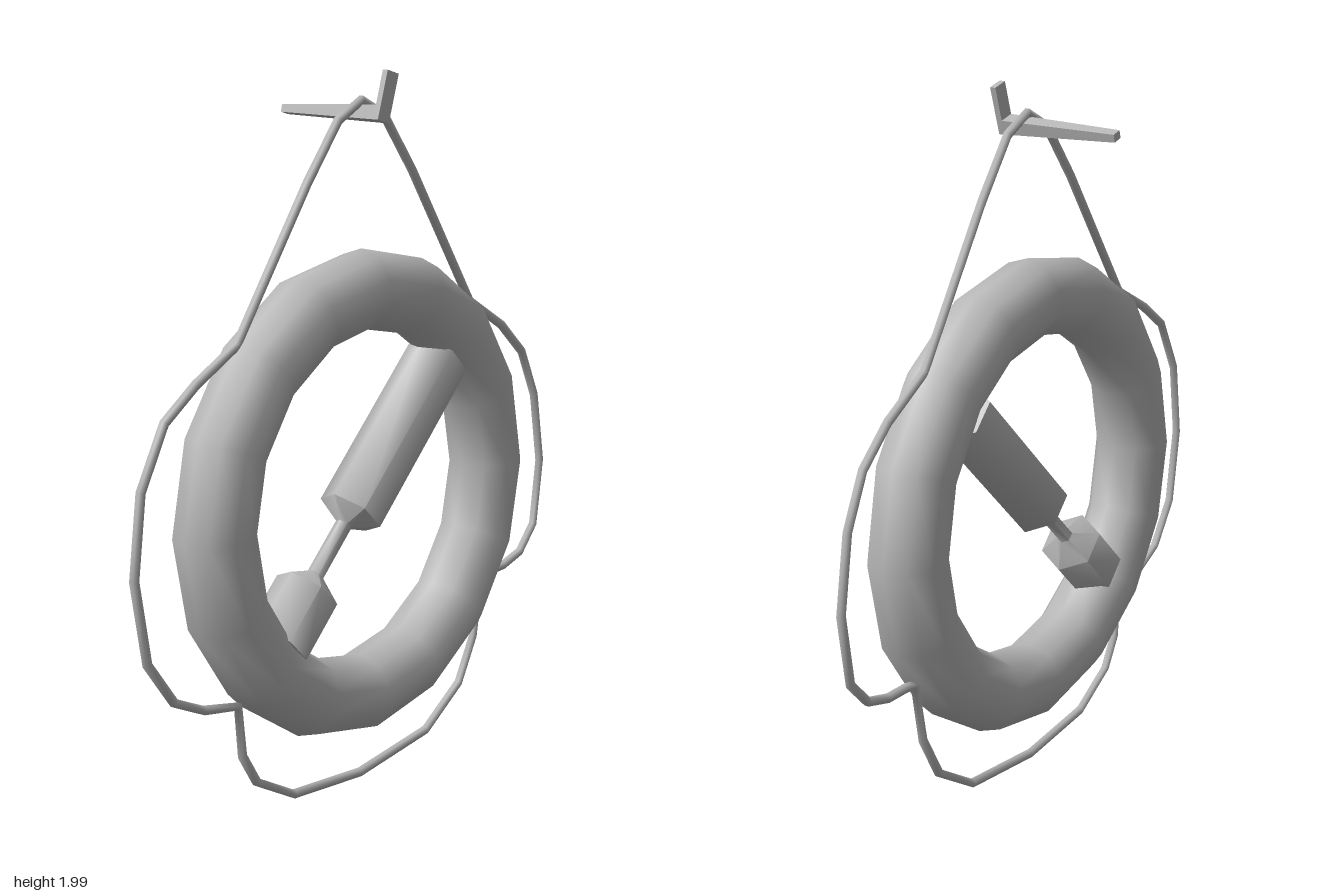
import * as THREE from 'three';
import { toCreasedNormals } from 'three/addons/utils/BufferGeometryUtils.js';

const CENTER_X = 0.082, CENTER_Y = 0.84;

// Closed path that keeps every given point as a corner of the tube
class RopePath extends THREE.Curve {
  constructor(points) { super(); this.points = points; }
  at(i) { const n = this.points.length; return this.points[((i % n) + n) % n]; }
  getPoint(t) {
    const f = t * this.points.length, i = Math.floor(f + 1e-6);
    return this.at(i).clone().lerp(this.at(i + 1), Math.max(0, f - i));
  }
  getPointAt(t) { return this.getPoint(t); }
  getTangentAt(t) {
    const i = Math.round(t * this.points.length);
    const a = this.at(i).clone().sub(this.at(i - 1)).normalize();
    const b = this.at(i + 1).clone().sub(this.at(i)).normalize();
    return a.add(b).normalize();
  }
}

export function createModel() {
  const model = new THREE.Group();
  const grey = new THREE.MeshStandardMaterial({ color: 0xb8b8b8 });
  grey.name = 'plain grey';

  const add = (name, geometry, x, y, z) => {
    const mesh = new THREE.Mesh(geometry, grey);
    mesh.name = name;
    mesh.position.set(x, y, z);
    model.add(mesh);
    return mesh;
  };

  // Buoyant ring, axis along x
  const ring = new THREE.TorusGeometry(0.575, 0.11, 10, 16);
  ring.rotateY(Math.PI / 2);
  add('lifeRing', ring, CENTER_X, CENTER_Y, 0);

  // Grab rope: [z, y] around the ring, with a peak where it hangs
  const ropePoints = [
    [0, 1.92], [0.095, 1.87], [0.217, 1.715], [0.487, 1.325], [0.635, 1.245],
    [0.746, 1.165], [0.83, 1.005], [0.858, 0.785], [0.82, 0.56], [0.73, 0.435],
    [0.624, 0.385], [0.497, 0.36], [0.482, 0.215], [0.428, 0.125], [0.28, 0.043],
    [0, 0.02], [-0.302, 0.06], [-0.46, 0.165], [-0.529, 0.295], [-0.56, 0.475],
    [-0.6, 0.482], [-0.677, 0.485], [-0.762, 0.51], [-0.83, 0.585], [-0.857, 0.785],
    [-0.82, 0.997], [-0.751, 1.14], [-0.645, 1.235], [-0.487, 1.325],
    [-0.217, 1.72], [-0.095, 1.875],
  ].map(([z, y]) => new THREE.Vector3(0, y, z));
  const rope = new THREE.TubeGeometry(new RopePath(ropePoints), ropePoints.length, 0.013, 6, true);
  add('grabRope', rope, CENTER_X, 0, 0);

  // Rescue light held diagonally across the ring: head, neck, then body
  const profile = [
    [0, -0.49], [0.0925, -0.49], [0.0925, -0.315], [0.024, -0.267],
    [0.024, -0.1], [0.0925, -0.061], [0.0925, 0.48], [0, 0.48],
  ].map(([r, u]) => new THREE.Vector2(r, u));
  const light = toCreasedNormals(new THREE.LatheGeometry(profile, 6), 1.1);
  add('rescueLight', light, CENTER_X, CENTER_Y, 0).rotation.x = -Math.PI / 4;

  // Wall hook: tapering bar with an upturned tip
  const outline = new THREE.Shape([
    [-0.2, -0.011], [0.155, -0.02], [0.16, 0.113], [0.143, 0.113],
    [0.14, 0.02], [-0.2, 0.011],
  ].map(([x, y]) => new THREE.Vector2(x, y)));
  const hook = new THREE.ExtrudeGeometry(outline, { depth: 0.047, bevelEnabled: false });
  hook.translate(0, 0, -0.0235);
  const p = hook.attributes.position;
  for (let i = 0; i < p.count; i++) {
    if (p.getX(i) < 0) p.setZ(i, p.getZ(i) * 0.65);
  }
  hook.computeVertexNormals();
  add('wallHook', hook, 0, 1.885, -0.008).rotation.x = -0.26;

  return model;
}
